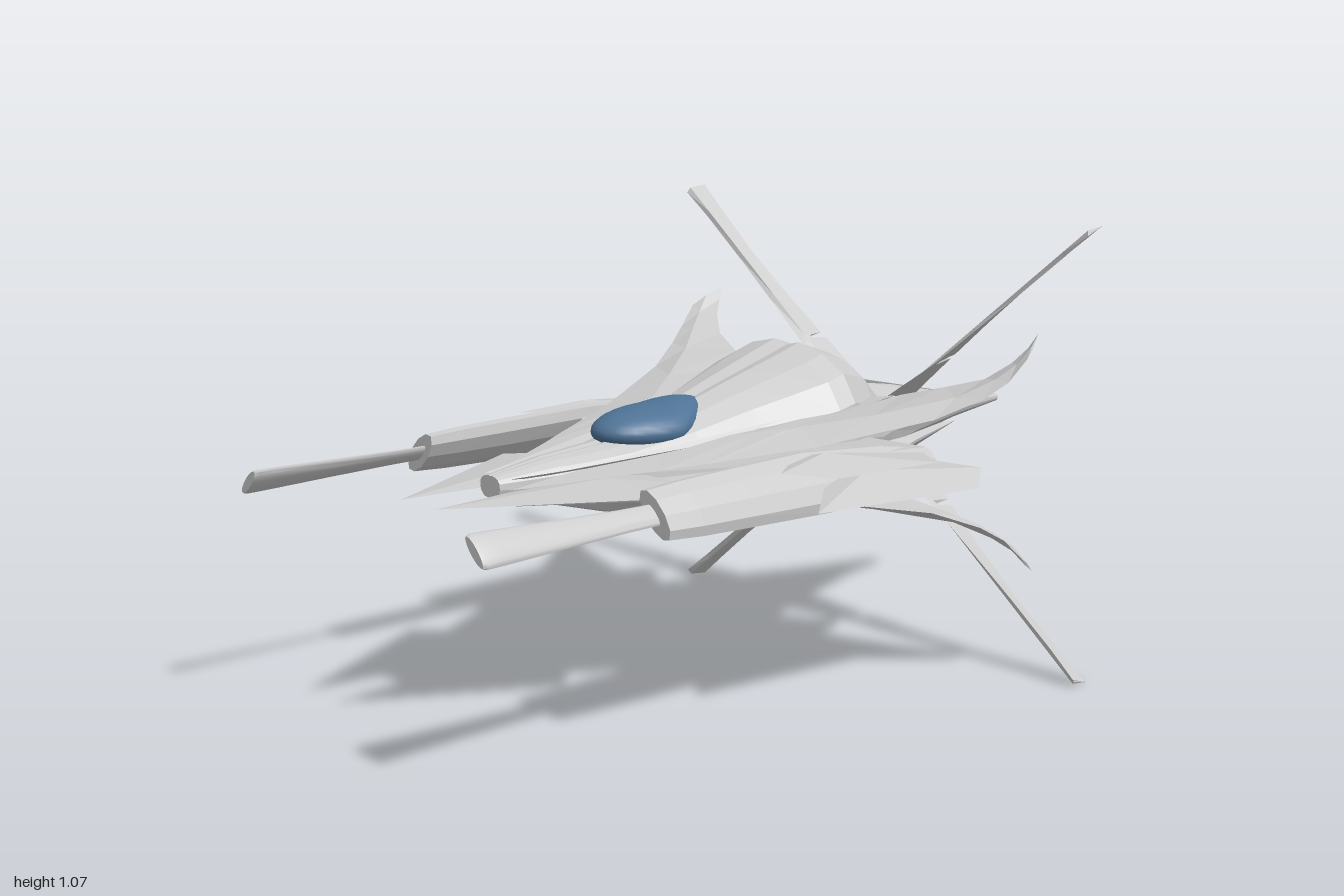
import * as THREE from 'three';
import { toCreasedNormals } from 'three/addons/utils/BufferGeometryUtils.js';
import { ConvexGeometry } from 'three/addons/geometries/ConvexGeometry.js';

const MID = 0.54; // height of the mirror plane between upper and lower halves
const V = (x, y, z) => new THREE.Vector3(x, y, z);

// Mirror a geometry across x and/or the mid height, keep faces outward, set normals
function finish(source, sx = 1, sy = 1, crease = 0.02) {
  const g = source.index ? source.toNonIndexed() : source.clone();
  g.deleteAttribute('uv');
  g.translate(0, -MID, 0).scale(sx, sy, 1).translate(0, MID, 0);
  const p = g.attributes.position;
  const a = V(), b = V(), c = V();
  let volume = 0;
  const read = (i) => [a, b, c].forEach((v, k) => v.fromBufferAttribute(p, i + k));
  for (let i = 0; i < p.count; i += 3) {
    read(i);
    volume += a.dot(b.clone().cross(c));
  }
  if (volume < 0) {
    for (let i = 0; i < p.count; i += 3) {
      read(i);
      p.setXYZ(i + 1, c.x, c.y, c.z);
      p.setXYZ(i + 2, b.x, b.y, b.z);
    }
  }
  return toCreasedNormals(g, crease);
}

// Skin a list of equal-length rings of points and cap both ends
function loft(rings) {
  const n = rings[0].length, index = [];
  for (let i = 0; i < rings.length - 1; i++) {
    for (let j = 0; j < n; j++) {
      const a = i * n + j, b = i * n + (j + 1) % n;
      index.push(a, b, a + n, b, b + n, a + n);
    }
  }
  const last = (rings.length - 1) * n;
  for (let j = 1; j < n - 1; j++) index.push(0, j + 1, j, last, last + j, last + j + 1);
  const g = new THREE.BufferGeometry().setFromPoints(rings.flat());
  g.setIndex(index);
  return g;
}

const convex = (...pts) => new ConvexGeometry(pts.map((p) => V(...p)));

// Hull: faceted ring with a shallow groove along the top and bottom
function hullGeometry() {
  const half = [[0.17, 1], [0.5, 0.91], [0.8, 0.72], [0.97, 0.4], [1, -0.1], [0.92, -0.48], [0.62, -0.92], [0.22, -1]];
  const outline = [[0, 0.95], ...half, [0, -0.96], ...half.map(([x, y]) => [-x, y]).reverse()];
  const stations = [ // z, half width, bottom, top
    [-1, 0.015, 0.53, 0.55], [-0.8, 0.06, 0.515, 0.575], [-0.6, 0.11, 0.49, 0.605],
    [-0.48, 0.13, 0.455, 0.64], [-0.42, 0.155, 0.425, 0.67], [-0.35, 0.19, 0.395, 0.735],
    [-0.24, 0.24, 0.37, 0.773], [-0.19, 0.24, 0.37, 0.757], [-0.1, 0.21, 0.375, 0.73],
    [0, 0.175, 0.385, 0.7], [0.15, 0.135, 0.415, 0.652], [0.35, 0.095, 0.45, 0.605],
    [0.5, 0.065, 0.49, 0.595], [0.65, 0.035, 0.525, 0.575],
  ];
  return loft(stations.map(([z, w, lo, hi]) =>
    outline.map(([x, y]) => V(x * w, (lo + hi) / 2 + y * (hi - lo) / 2, z))));
}

// Swept wing curling up at the tip: leading and trailing points per station
function wingGeometry() {
  const stations = [
    [[0.06, 0.55, 0.64], [0.08, 0.62, -0.3], 0.012],
    [[0.2, 0.572, 0.345], [0.2, 0.65, -0.34], 0.011],
    [[0.245, 0.58, 0.255], [0.248, 0.658, -0.36], 0.01],
    [[0.25, 0.581, 0.245], [0.252, 0.652, -0.29], 0.01],
    [[0.257, 0.582, 0.23], [0.262, 0.661, -0.365], 0.01],
    [[0.36, 0.603, 0.01], [0.36, 0.687, -0.405], 0.01],
    [[0.48, 0.648, -0.24], [0.455, 0.715, -0.44], 0.009],
    [[0.535, 0.69, -0.345], [0.505, 0.755, -0.475], 0.008],
    [[0.56, 0.725, -0.4], [0.528, 0.79, -0.505], 0.006],
    [[0.572, 0.775, -0.45], [0.54, 0.822, -0.525], 0.004],
  ];
  return loft(stations.map(([l, t, h]) => {
    const lead = V(...l), trail = V(...t), mid = lead.clone().lerp(trail, 0.45);
    const side = V(-0.4, 1, 0).normalize().multiplyScalar(h);
    return [lead, mid.clone().add(side), trail, mid.clone().sub(side)];
  }));
}

// Tail blade: thin diagonal vane with a notch near its root
function bladeGeometry() {
  const stations = [ // x, rear z, front z
    [0.08, -0.61, -0.465], [0.13, -0.602, -0.48], [0.218, -0.59, -0.512], [0.222, -0.545, -0.513],
    [0.23, -0.545, -0.514], [0.234, -0.587, -0.515], [0.35, -0.573, -0.521],
    [0.48, -0.566, -0.527], [0.6, -0.573, -0.528], [0.673, -0.58, -0.523],
  ];
  return loft(stations.map(([x, back, front]) => {
    const y = MID + x * 0.785, m = -0.53, t = 0.003;
    const tilt = 0.003 + x * 0.009; // slight twist growing toward the tip
    return [V(x + t, y - tilt, front), V(x - t, y + t, m), V(x - t, y + tilt, back), V(x + t, y - t, m)];
  }));
}

// Gun housing: flattened tapering body rolled like the barrel
function podGeometry() {
  const stations = [ // z, long half, short half
    [-0.3, 0.03, 0.012], [-0.15, 0.06, 0.025], [0.08, 0.082, 0.034],
    [0.3, 0.076, 0.034], [0.45, 0.071, 0.032], [0.54, 0.064, 0.028],
  ];
  return loft(stations.map(([z, long, short]) => Array.from({ length: 10 }, (_, i) => {
    const a = i * Math.PI / 5, u = Math.cos(a) * long, v = Math.sin(a) * short;
    return V(0.418 + (v - u) * Math.SQRT1_2, 0.543 + (v + u) * Math.SQRT1_2, z);
  })));
}

// Flattened flaring barrel, its broad face looking up and outward
function barrelGeometry() {
  const profile = [[0, 0.5], [0.026, 0.5], [0.028, 0.62], [0.034, 0.78], [0.042, 0.95], [0.043, 0.99], [0.038, 1], [0, 1]];
  return new THREE.LatheGeometry(profile.map(([r, z]) => new THREE.Vector2(r, z)), 20)
    .rotateX(Math.PI / 2).scale(1, 0.3, 1).rotateZ(-Math.PI / 4).translate(0.415, 0.543, 0);
}

// Canopy: dome drawn out to a point at the rear
function canopyGeometry() {
  const g = new THREE.SphereGeometry(1, 32, 20);
  const p = g.attributes.position;
  for (let i = 0; i < p.count; i++) {
    const z = p.getZ(i), taper = z < 0 ? 1 + z * 0.35 : 1;
    p.setXYZ(i, p.getX(i) * 0.105 * taper, 0.622 + p.getY(i) * 0.053 - Math.min(z, 0) * 0.03,
      0.18 + z * (z < 0 ? 0.14 : 0.168));
  }
  return g;
}

export function createModel() {
  const model = new THREE.Group();
  const grey = new THREE.MeshStandardMaterial({ color: 0xcccccc });
  const blue = new THREE.MeshStandardMaterial({ color: 0x4f7396 });
  const add = (name, geometry, material = grey) => {
    const mesh = new THREE.Mesh(geometry, material);
    mesh.name = name;
    model.add(mesh);
  };

  add('hull', finish(hullGeometry()));
  add('canopy', finish(canopyGeometry(), 1, 1, 0.8), blue);

  // Parts repeated left and right
  const sideParts = {
    frontProng: convex([0.062, 0.54, 0.84], [0.31, 0.535, 0.38], [0.22, 0.54, 0.29], [0.04, 0.54, 0.3],
      [0.035, 0.54, 0.6], [0.12, 0.555, 0.42], [0.12, 0.525, 0.42]),
    gunPod: podGeometry(),
    outerFin: convex([0.555, 0.515, 0.2], [0.592, 0.505, -0.27], [0.54, 0.535, -0.335], [0.42, 0.55, -0.25],
      [0.42, 0.55, 0.04], [0.48, 0.565, -0.02], [0.48, 0.53, -0.02]),
    upperFin: convex([0.36, 0.59, 0.08], [0.46, 0.59, 0.22], [0.515, 0.57, 0.1], [0.53, 0.565, -0.2],
      [0.42, 0.56, -0.27], [0.42, 0.605, 0.05]),
    lowerFin: convex([0.37, 0.5, 0.06], [0.45, 0.49, 0.18], [0.5, 0.505, 0.05], [0.53, 0.52, -0.2],
      [0.4, 0.53, -0.25], [0.43, 0.485, 0.0]),
  };
  // Parts repeated left, right, above and below
  const quarterParts = {
    wing: wingGeometry(),
    tailBlade: bladeGeometry(),
    innerWing: convex([0.1, 0.55, 0.35], [0.12, 0.55, -0.33], [0.38, 0.58, 0.08], [0.43, 0.575, -0.27],
      [0.24, 0.575, -0.05], [0.24, 0.558, -0.05]),
    noseStrake: convex([0.045, 0.57, 0.63], [0.075, 0.575, 0.5], [0.16, 0.6, 0.1], [0.18, 0.63, -0.05],
      [0.1, 0.6, 0.15], [0.04, 0.56, 0.55]),
    tailStrake: convex([0.03, 0.575, -0.82], [0.115, 0.58, -0.58], [0.19, 0.6, -0.36], [0.1, 0.67, -0.36],
      [0.05, 0.635, -0.55], [0.1, 0.55, -0.5]),
  };
  for (const sx of [1, -1]) {
    const side = sx > 0 ? 'left' : 'right';
    for (const [name, g] of Object.entries(sideParts)) add(`${side} ${name}`, finish(g, sx));
    add(`${side} gunBarrel`, finish(barrelGeometry(), sx, 1, 0.6));
    for (const sy of [1, -1]) {
      const level = sy > 0 ? 'upper' : 'lower';
      for (const [name, g] of Object.entries(quarterParts)) add(`${side} ${level} ${name}`, finish(g, sx, sy));
    }
  }
  return model;
}
